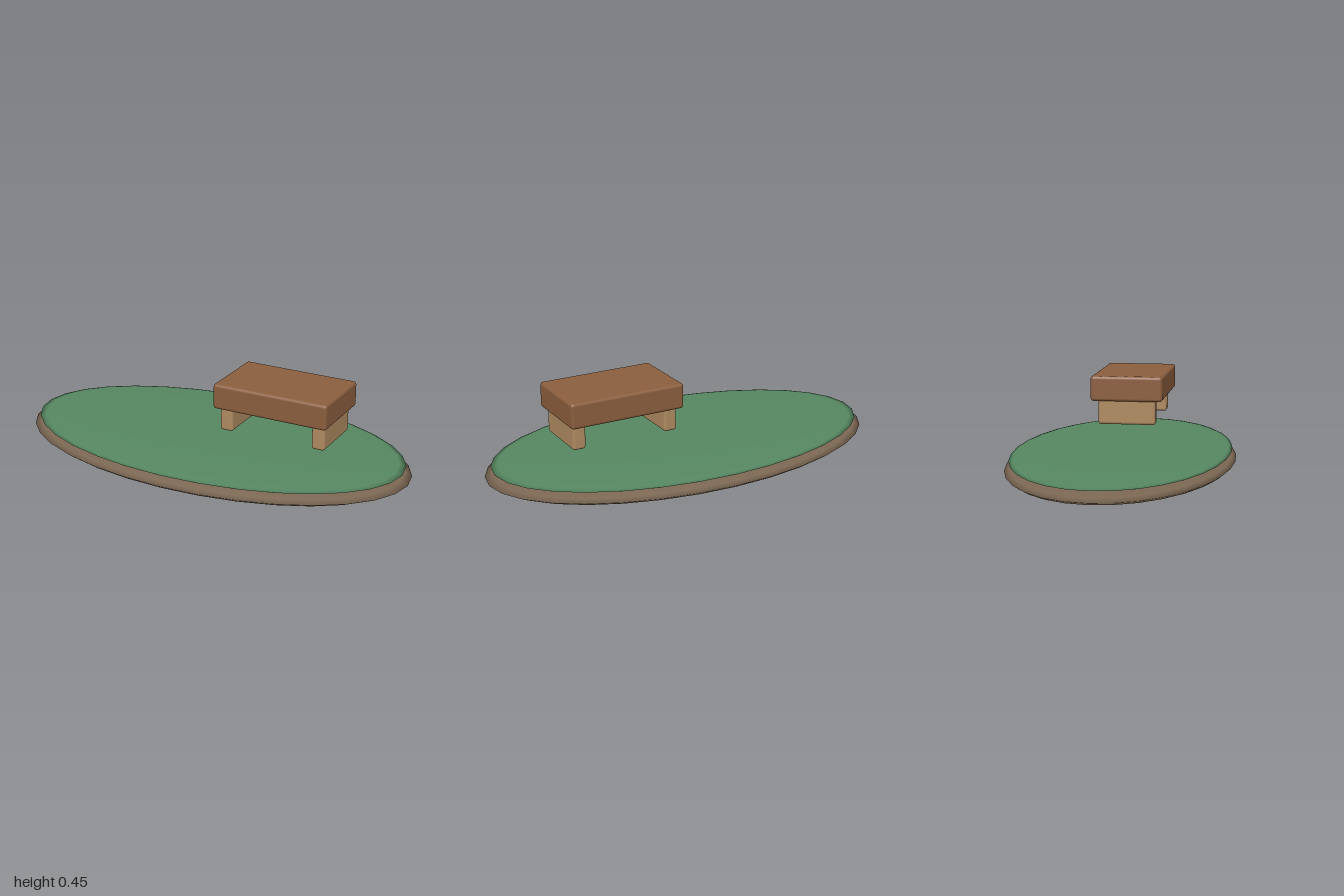
import * as THREE from 'three';
import { RoundedBoxGeometry } from 'three/addons/geometries/RoundedBoxGeometry.js';

function material(name, color) {
  const m = new THREE.MeshStandardMaterial({ color });
  m.name = name;
  return m;
}

export function createModel() {
  const model = new THREE.Group();
  model.name = 'benchOnLawn';
  const earth = material('earthBrown', 0x7a6652);
  const grass = material('grassGreen', 0x568761);
  const wood = material('benchWood', 0x8b5e3e);
  const paleWood = material('legWood', 0xae8a60);

  function add(parent, name, geometry, mat, x, y, z) {
    const mesh = new THREE.Mesh(geometry, mat);
    mesh.name = name;
    mesh.position.set(x, y, z);
    parent.add(mesh);
    return mesh;
  }

  // Flattened ellipsoids: earth mound with a thinner grass cap
  const disc = new THREE.SphereGeometry(1, 32, 12);
  add(model, 'earthBase', disc, earth, 0, 0.06, 0).scale.set(1, 0.06, 0.545);
  add(model, 'grassCap', disc, grass, 0, 0.105, 0).scale.set(0.97, 0.018, 0.525);

  // Bench floating over the grass, offset to the left
  const bench = new THREE.Group();
  bench.name = 'bench';
  bench.position.x = 0.37;
  model.add(bench);
  add(bench, 'seat', new RoundedBoxGeometry(0.578, 0.124, 0.356, 3, 0.015), wood, 0, 0.388, 0);
  const leg = new RoundedBoxGeometry(0.066, 0.13, 0.284, 3, 0.014);
  for (const side of [-1, 1]) {
    add(bench, side > 0 ? 'leftLeg' : 'rightLeg', leg, paleWood, side * 0.236, 0.274, 0);
  }
  return model;
}
